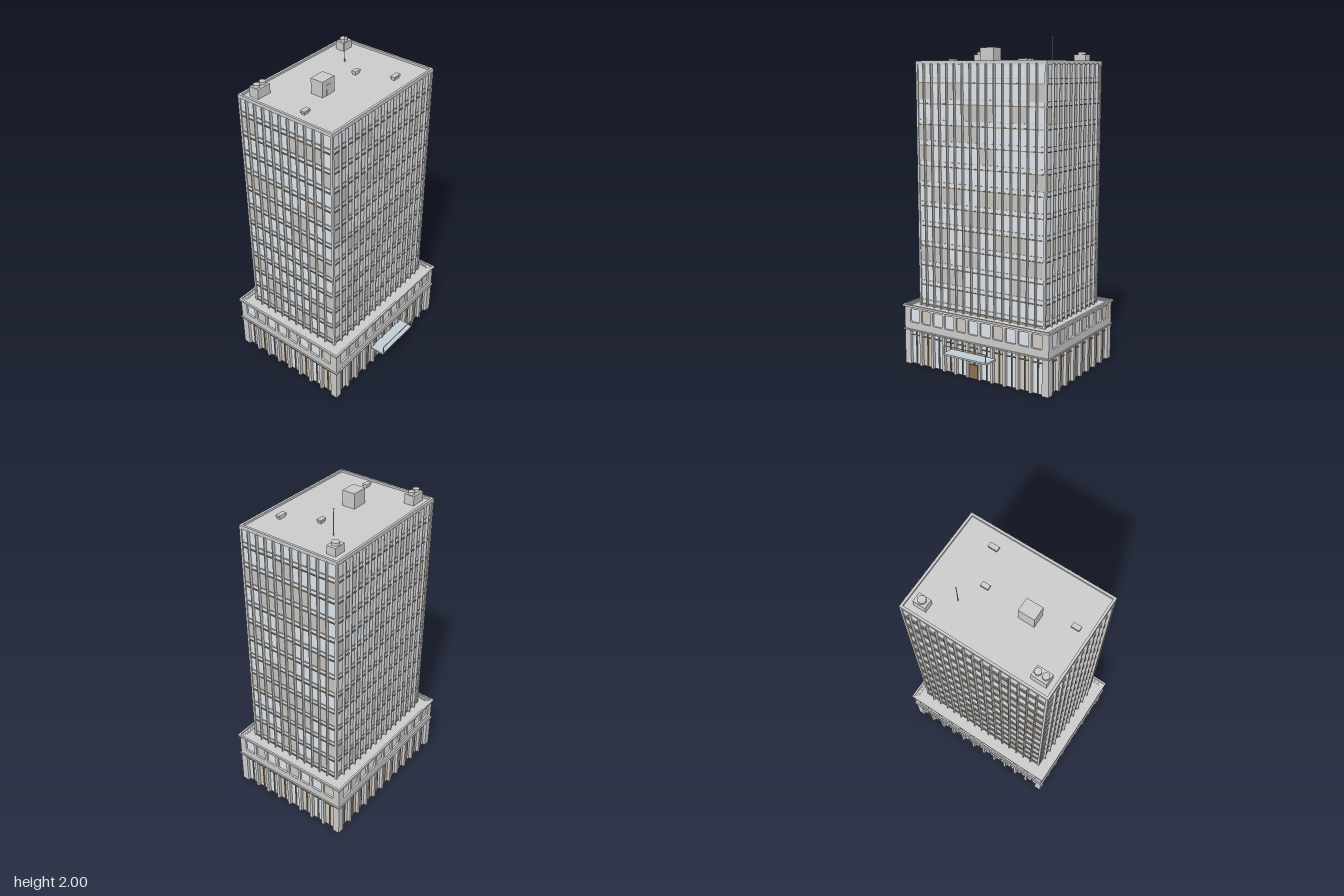
import * as THREE from 'three';

const mat = (color, side = THREE.FrontSide) => new THREE.MeshStandardMaterial({ color, side });
const GREY = mat(0xcccccc), GLASS = mat(0xdde5ec, THREE.DoubleSide), BLIND = mat(0xc6c4c0);
const TAN = mat(0xd0c9be, THREE.DoubleSide), BRONZE = mat(0x9c8970), DOOR = mat(0x8a7050), CANOPY = mat(0xc0ccd4);
const CZ = -0.042; // centre of the building in z; the canopy reaches further forward

function add(parent, name, geometry, material, x = 0, y = 0, z = 0) {
  const mesh = new THREE.Mesh(geometry, material);
  mesh.name = name;
  mesh.position.set(x, y, z);
  parent.add(mesh);
  return mesh;
}

// Box given by its lower and upper bounds on each axis
function box(parent, name, x0, x1, y0, y1, z0, z1, material = GREY) {
  return add(parent, name, new THREE.BoxGeometry(x1 - x0, y1 - y0, z1 - z0), material,
    (x0 + x1) / 2, (y0 + y1) / 2, (z0 + z1) / 2);
}

// Four facades, each built with local +z pointing outwards
function fourSides(parent, name, build) {
  for (let i = 0; i < 4; i++) {
    const side = new THREE.Group();
    side.name = name + ['Front', 'Left', 'Back', 'Right'][i];
    side.rotation.y = i * Math.PI / 2;
    build(side, i);
    parent.add(side);
  }
}

// Rectangular ring of four bars around the building
function ring(parent, name, hx, hz, thick, y0, y1, material = GREY) {
  for (const s of [-1, 1]) {
    const a = s * hz, b = s * (hz - thick), c = s * hx, d = s * (hx - thick);
    box(parent, name, -hx, hx, y0, y1, Math.min(a, b), Math.max(a, b), material);
    box(parent, name, Math.min(c, d), Math.max(c, d), y0, y1, -hz + thick, hz - thick, material);
  }
}

function roundedHole(x0, x1, y0, y1, r) {
  const p = new THREE.Path();
  p.moveTo(x0 + r, y0);
  p.lineTo(x0 + r, y0).lineTo(x1 - r, y0);
  p.quadraticCurveTo(x1, y0, x1, y0 + r).lineTo(x1, y1 - r);
  p.quadraticCurveTo(x1, y1, x1 - r, y1).lineTo(x0 + r, y1);
  p.quadraticCurveTo(x0, y1, x0, y1 - r).lineTo(x0, y0 + r);
  p.quadraticCurveTo(x0, y0, x0 + r, y0);
  return p;
}

// Podium wall: tall bays open to the ground, rounded windows above
function podiumWall(side, half, dist, count, pitch) {
  const w = 0.035, top = 0.22, r = 0.008, depth = 0.025;
  const centres = Array.from({ length: count }, (_, i) => (i - (count - 1) / 2) * pitch);
  const shape = new THREE.Shape();
  shape.moveTo(-half, 0);
  for (const x of centres) {
    shape.lineTo(x - w, 0).lineTo(x - w, top - r);
    shape.quadraticCurveTo(x - w, top, x - w + r, top).lineTo(x + w - r, top);
    shape.quadraticCurveTo(x + w, top, x + w, top - r).lineTo(x + w, 0);
  }
  shape.lineTo(half, 0).lineTo(half, 0.37).lineTo(-half, 0.37);
  for (const x of centres) shape.holes.push(roundedHole(x - w, x + w, 0.27, 0.354, 0.01));
  add(side, 'podiumWall', new THREE.ExtrudeGeometry(shape, { depth, bevelEnabled: false, curveSegments: 4 }),
    GREY, 0, 0, dist - depth);
  centres.forEach((x, i) => {
    add(side, 'podiumWindow', new THREE.PlaneGeometry(2 * w, 0.084), i % 3 === 1 ? TAN : GLASS, x, 0.312, dist - 0.012);
    add(side, 'podiumGlazing', new THREE.PlaneGeometry(2 * w, top), i % 2 ? TAN : GLASS, x, top / 2, dist - 0.02);
    box(side, 'glazingBar', x - 0.003, x + 0.003, 0, top, dist - 0.02, dist - 0.012, BRONZE);
    box(side, 'glazingTransom', x - w, x + w, 0.183, 0.188, dist - 0.02, dist - 0.013, BRONZE);
  });
}

// Floors 0 to 11: which two-bay units on the front have blinds drawn
const FRONT_BLINDS = ['2', '126', '01367', '1356', '34', '12456', '07', '04', '023', '346', '027', ''];
const FLOOR0 = 0.377, STOREY = 0.1228;

function towerWall(side, index, half, dist, bays) {
  const bay = 2 * half / bays;
  for (let f = 0; f < 12; f++) {
    const y = FLOOR0 + f * STOREY;
    box(side, 'floorLedge', -half, half, y - 0.003, y + 0.003, dist, dist + 0.006, BRONZE);
    box(side, 'windowSill', -half, half, y + 0.026, y + 0.03, dist, dist + 0.005);
    for (let u = 0; u < bays / 2; u++) {
      const drawn = index === 0 ? FRONT_BLINDS[f].includes(String(u))
        : f < 11 && (f * 7 + u * 5 + index * 3 + f * u * 2) % 11 < 4;
      if (!drawn) continue;
      const x = -half + u * 2 * bay;
      box(side, 'blindWindow', x, Math.min(x + 2 * bay, half), y + 0.03, y + STOREY - 0.003, dist, dist + 0.002, BLIND);
    }
  }
  for (let i = 1; i < bays; i++) {
    const x = -half + i * bay;
    box(side, 'mullion', x - 0.003, x + 0.003, 0.365, 1.838, dist, dist + 0.018);
  }
}

function airUnit(parent, x0, x1, z0, z1, top, fans, r) {
  const unit = new THREE.Group();
  unit.name = 'coolingUnit';
  box(unit, 'unitBody', x0, x1, 1.84, top, z0, z1);
  for (const x of fans)
    add(unit, 'unitFan', new THREE.CylinderGeometry(r, r, 0.016, 20), GREY, x, top + 0.008, (z0 + z1) / 2);
  parent.add(unit);
}

export function createModel() {
  const model = new THREE.Group();
  model.name = 'officeTower';
  const building = new THREE.Group();
  building.name = 'building';
  building.position.z = CZ;
  model.add(building);

  // Podium, hollow below its roof slab
  const podium = new THREE.Group();
  podium.name = 'podium';
  building.add(podium);
  fourSides(podium, 'podium', (side, i) => i % 2
    ? podiumWall(side, 0.392, 0.513, 8, 0.089)
    : podiumWall(side, 0.513, 0.392, 11, 0.087));
  box(podium, 'podiumRoof', -0.5, 0.5, 0.357, 0.367, -0.38, 0.38);
  ring(podium, 'podiumParapet', 0.522, 0.401, 0.012, 0.366, 0.379);
  ring(podium, 'podiumParapetBase', 0.513, 0.392, 0.014, 0.357, 0.372);
  ring(podium, 'podiumCornice', 0.521, 0.4, 0.009, 0.218, 0.226);

  // Glazed tower
  const tower = new THREE.Group();
  tower.name = 'tower';
  building.add(tower);
  box(tower, 'glassBody', -0.4416, 0.4416, 0.36, 1.835, -0.318, 0.318, GLASS);
  fourSides(tower, 'tower', (side, i) => i % 2
    ? towerWall(side, i, 0.318, 0.4416, 11)
    : towerWall(side, i, 0.4416, 0.318, 16));
  for (const sx of [-1, 1]) for (const sz of [-1, 1])
    add(tower, 'cornerPost', new THREE.BoxGeometry(0.014, 1.475, 0.014), GREY, sx * 0.441, 1.1025, sz * 0.3175);
  box(tower, 'roofSlab', -0.446, 0.446, 1.832, 1.843, -0.322, 0.322);
  ring(tower, 'roofParapet', 0.448, 0.324, 0.014, 1.834, 1.855);

  // Roof equipment, in model coordinates
  const roof = new THREE.Group();
  roof.name = 'roofEquipment';
  model.add(roof);
  box(roof, 'stairHouse', -0.182, -0.084, 1.84, 1.935, -0.081, 0);
  box(roof, 'stairHouseDoor', -0.15, -0.116, 1.843, 1.905, 0, 0.002);
  airUnit(roof, -0.406, -0.313, -0.317, -0.255, 1.899, [-0.382, -0.336], 0.019);
  airUnit(roof, 0.319, 0.394, -0.315, -0.258, 1.891, [0.356], 0.023);
  for (const [x, z, w] of [[0.145, -0.032, 0.046], [-0.36, 0.032, 0.048], [0.233, 0.174, 0.056]]) {
    box(roof, 'roofVentBase', x - w / 2 + 0.005, x + w / 2 - 0.005, 1.84, 1.856, z - 0.01, z + 0.01);
    box(roof, 'roofVentHood', x - w / 2, x + w / 2, 1.855, 1.866, z - 0.014, z + 0.014);
  }
  add(roof, 'antennaMast', new THREE.CylinderGeometry(0.002, 0.003, 0.155, 8), GREY, 0.22, 1.9185, -0.171);
  add(roof, 'antennaTip', new THREE.SphereGeometry(0.005, 10, 8), GREY, 0.22, 1.995, -0.171);

  // Entrance with canopy
  const entrance = new THREE.Group();
  entrance.name = 'entrance';
  model.add(entrance);
  box(entrance, 'door', -0.029, 0.029, 0, 0.085, 0.325, 0.345, DOOR);
  box(entrance, 'canopySlab', -0.158, 0.158, 0.145, 0.155, 0.345, 0.438, CANOPY);
  box(entrance, 'canopyRail', -0.15, 0.15, 0.203, 0.207, 0.434, 0.438);
  for (const x of [-0.148, 0.148])
    box(entrance, 'canopyPost', x - 0.002, x + 0.002, 0.155, 0.207, 0.434, 0.438);
  return model;
}
